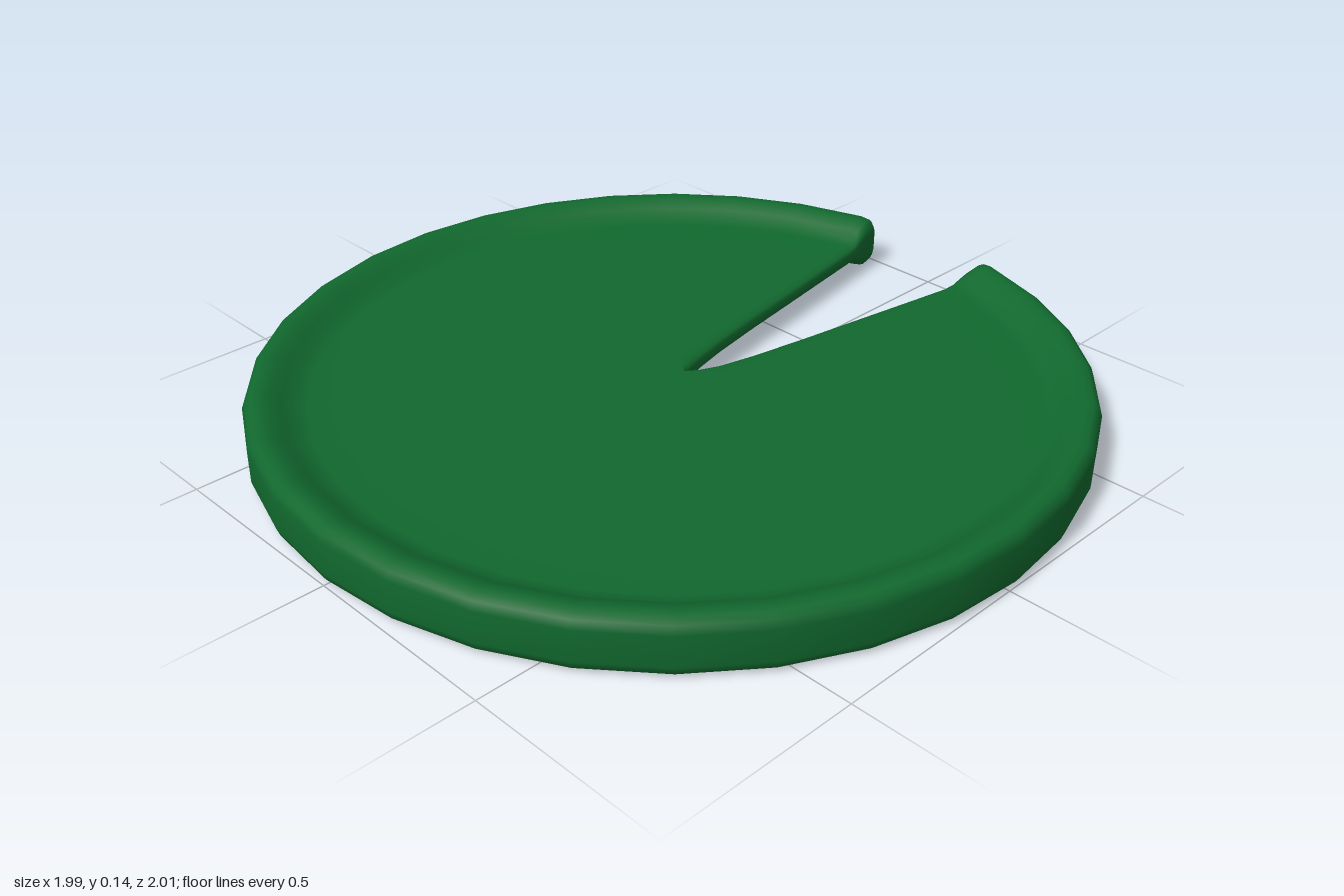
import * as THREE from 'three';

const R = 1.005, CENTRE_X = 0.005;   // outer circle
const APEX_X = 0.045;                // inner end of the notch
const MID_Y = 0.07;                  // mid-plane of the pad

// Half section from apex to rim: [fraction of radius, height above mid-plane]
const HALF = [
  [0, 0.025], [0.04, 0.025], [0.1, 0.025], [0.2, 0.025], [0.35, 0.025], [0.55, 0.025],
  [0.75, 0.025], [0.86, 0.026], [0.89, 0.033], [0.915, 0.05], [0.94, 0.064],
  [0.96, 0.07], [0.98, 0.068], [0.993, 0.058], [1, 0.038],
];
// Mirror it below the mid-plane to get the full section
const PROFILE = [...HALF, ...HALF.slice().reverse().map(([t, y]) => [t, -y])];

// Rounded notch edge: [progress across the edge band, height scale, radius scale]
const EDGE = [[0, 0.4, 0.982], [0.13, 0.72, 0.993], [0.42, 0.94, 1]];
const SPOKES = 30;

// Distance from the apex to the outer circle in a given direction
function rimDistance(angle) {
  const d = APEX_X - CENTRE_X;
  return -d * Math.cos(angle) + Math.sqrt(R * R - (d * Math.sin(angle)) ** 2);
}

function padGeometry() {
  // Columns run round the pad from one notch edge to the other
  const columns = [
    ...EDGE.map(([f, h, r]) => ({ f, h, r, side: 1 })),
    ...Array.from({ length: SPOKES + 1 }, (_, k) => ({ u: k / SPOKES, h: 1, r: 1 })),
    ...EDGE.slice().reverse().map(([f, h, r]) => ({ f, h, r, side: -1 })),
  ];
  const positions = [], index = [], n = PROFILE.length;

  for (const c of columns) {
    for (const [t, y] of PROFILE) {
      // The notch widens a little toward its rounded apex
      const start = 0.187 + 0.2 * Math.exp(-t / 0.25);
      const band = Math.min(0.045 / Math.max(t, 0.01), 0.5);
      const inner = start + band;
      const angle = c.side
        ? c.side * (start + band * c.f)
        : inner + c.u * 2 * (Math.PI - inner);
      const r = t * rimDistance(angle) * c.r;
      positions.push(APEX_X + r * Math.cos(angle), MID_Y + y * c.h, r * Math.sin(angle));
    }
  }

  // Skin between neighbouring columns
  for (let c = 0; c < columns.length - 1; c++) {
    for (let i = 0; i < n - 1; i++) {
      const a = c * n + i, b = a + n;
      index.push(a, b, a + 1, b, b + 1, a + 1);
    }
  }

  // Walls closing the two notch edges
  const last = (columns.length - 1) * n;
  for (let i = 0; i < HALF.length - 1; i++) {
    const j = n - 1 - i;
    index.push(i, i + 1, j, i + 1, j - 1, j);
    index.push(last + i, last + j, last + i + 1, last + i + 1, last + j, last + j - 1);
  }

  const geometry = new THREE.BufferGeometry();
  geometry.setAttribute('position', new THREE.Float32BufferAttribute(positions, 3));
  geometry.setIndex(index);
  geometry.computeVertexNormals();
  return geometry;
}

export function createModel() {
  const group = new THREE.Group();
  group.name = 'lilyPad';
  const leaf = new THREE.Mesh(padGeometry(), new THREE.MeshStandardMaterial({ color: 0x11682e }));
  leaf.name = 'leaf';
  group.add(leaf);
  return group;
}
